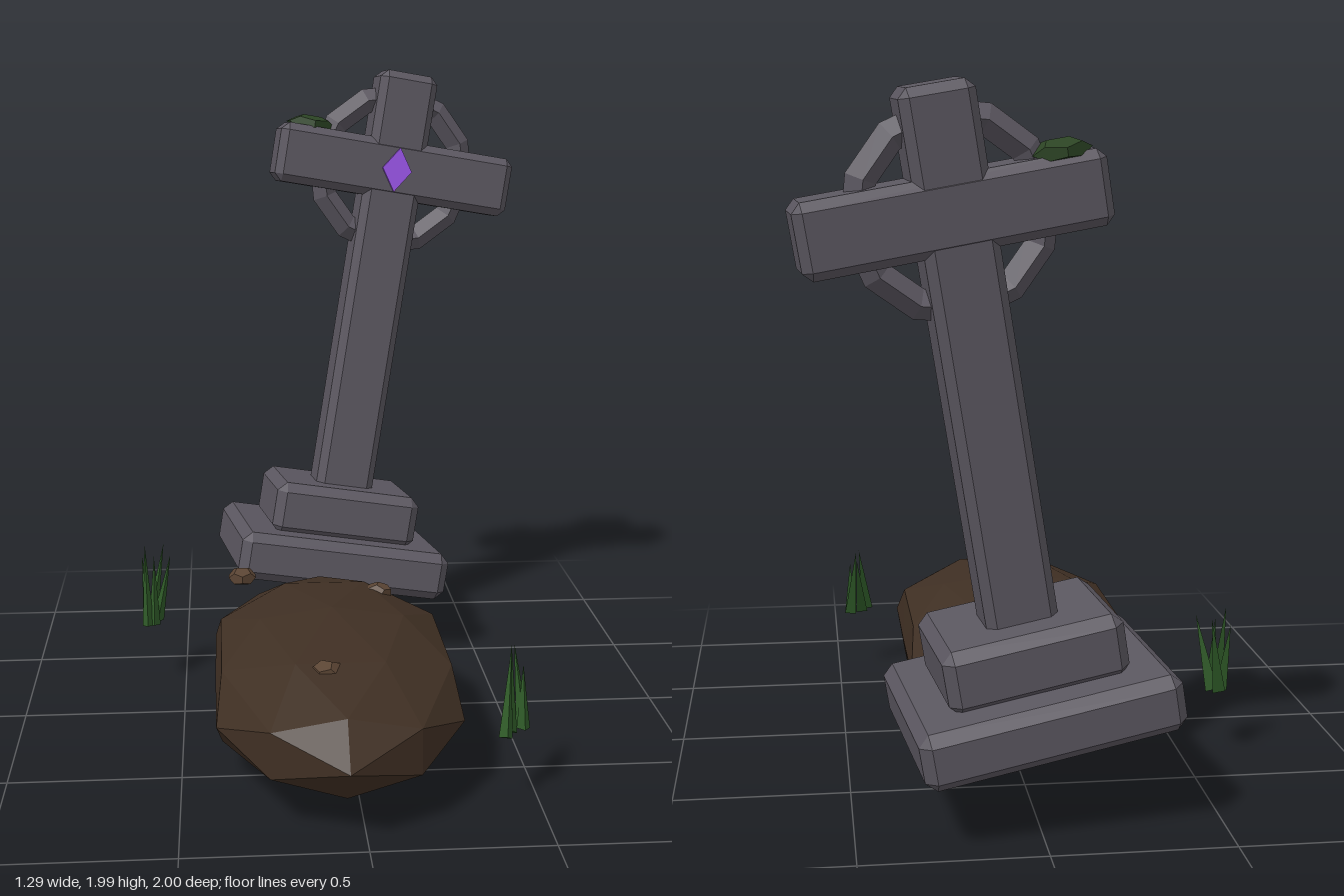
import * as THREE from 'three';
import { ConvexGeometry } from 'three/addons/geometries/ConvexGeometry.js';

const paint = (color) => new THREE.MeshStandardMaterial({ color, flatShading: true, side: THREE.DoubleSide });
const STONE = paint(0x5a565f);
const EARTH = paint(0x3f2f23);
const PEBBLE = paint(0x5a4433);
const MOSS = paint(0x2c4424);
const GRASS = paint(0x2f5a28);
const GEM = paint(0x9a55e8);

function add(parent, name, geometry, material, x = 0, y = 0, z = 0) {
  const mesh = new THREE.Mesh(geometry, material);
  mesh.name = name;
  mesh.position.set(x, y, z);
  parent.add(mesh);
  return mesh;
}

// Box with every edge chamfered by b
function chamferBox(w, h, d, b) {
  const points = [];
  for (const sx of [-1, 1]) for (const sy of [-1, 1]) for (const sz of [-1, 1]) {
    for (let axis = 0; axis < 3; axis++) {
      const inset = [b, b, b];
      inset[axis] = 0;
      points.push(new THREE.Vector3(
        sx * (w / 2 - inset[0]), sy * (h / 2 - inset[1]), sz * (d / 2 - inset[2])));
    }
  }
  return new ConvexGeometry(points);
}

// Leaning cross on a two-step plinth
function createGravestone() {
  const stone = new THREE.Group();
  stone.name = 'gravestone';
  add(stone, 'plinthBase', chamferBox(0.72, 0.16, 0.58, 0.03), STONE, 0, 0.08, 0);
  add(stone, 'plinthStep', chamferBox(0.5, 0.18, 0.38, 0.03), STONE, 0, 0.235, 0);
  add(stone, 'post', chamferBox(0.2, 1.46, 0.165, 0.025), STONE, 0, 1.03, 0);
  add(stone, 'crossbar', chamferBox(0.82, 0.2, 0.168, 0.025), STONE, 0, 1.43, 0);
  add(stone, 'ring', new THREE.TorusGeometry(0.25, 0.042, 4, 12), STONE, 0, 1.43, 0);

  // Diamond inlay on the front of the crossing
  const gem = new THREE.CylinderGeometry(0.075, 0.075, 0.03, 4).rotateX(Math.PI / 2).scale(0.68, 1, 1);
  add(stone, 'gem', gem, GEM, 0, 1.43, 0.08);

  // Moss clump on the upper side of one arm
  const moss = new THREE.DodecahedronGeometry(0.086, 0).scale(1, 0.38, 1);
  add(stone, 'moss', moss, MOSS, -0.3, 1.537, -0.015);

  stone.rotation.set(-0.083, 0.11, -0.165, 'ZXY');
  stone.position.set(-0.005, 0.245, -0.662);
  return stone;
}

// Long faceted heap of earth with fuller sides
function createMound() {
  const geometry = new THREE.IcosahedronGeometry(1, 1);
  const p = geometry.attributes.position;
  for (let i = 0; i < p.count; i++) {
    const x = p.getX(i);
    p.setX(i, Math.sign(x) * Math.min(1, Math.abs(x) * 1.17));
  }
  geometry.scale(0.35, 0.215, 0.725);
  geometry.computeVertexNormals();
  return geometry;
}

// Each blade: base x, base z, tip x, tip z, height
function createTuft(name, x, y, z, blades) {
  const tuft = new THREE.Group();
  tuft.name = name;
  for (const [bx, bz, tx, tz, height] of blades) {
    const lean = new THREE.Vector3(tx - bx, height, tz - bz);
    const cone = new THREE.ConeGeometry(0.022, lean.length(), 3).translate(0, lean.length() / 2, 0);
    const blade = add(tuft, 'grassBlade', cone, GRASS, bx, 0, bz);
    blade.quaternion.setFromUnitVectors(new THREE.Vector3(0, 1, 0), lean.normalize());
  }
  tuft.position.set(x, y, z);
  return tuft;
}

export function createModel() {
  const model = new THREE.Group();
  model.name = 'grave';
  model.add(createGravestone());
  add(model, 'mound', createMound(), EARTH, -0.05, 0.215, 0.275);

  // Loose pebbles on the mound
  [[-0.31, 0.37, -0.23], [0.115, 0.375, -0.02], [-0.09, 0.372, 0.65]].forEach(([x, y, z], i) => {
    const pebble = add(model, 'pebble', new THREE.DodecahedronGeometry(0.047, 0).scale(1, 0.65, 1), PEBBLE, x, y, z);
    pebble.rotation.y = i * 1.3;
  });

  // Grass tufts either side
  model.add(createTuft('rightGrass', -0.6, 0.2, -0.31, [
    [-0.02, 0.06, -0.03, -0.01, 0.26],
    [0.0, 0.05, 0.0, 0.0, 0.22],
    [-0.01, -0.01, 0.03, -0.08, 0.24],
    [0.01, 0.0, 0.055, 0.02, 0.23],
    [-0.02, 0.01, -0.04, -0.03, 0.21],
  ]));
  model.add(createTuft('leftGrass', 0.43, 0.2, 0.69, [
    [-0.03, 0.06, 0.0, -0.05, 0.23],
    [-0.01, 0.02, 0.01, -0.11, 0.21],
    [0.03, -0.01, 0.01, -0.07, 0.23],
    [0.03, 0.0, 0.03, -0.03, 0.18],
  ]));
  return model;
}
